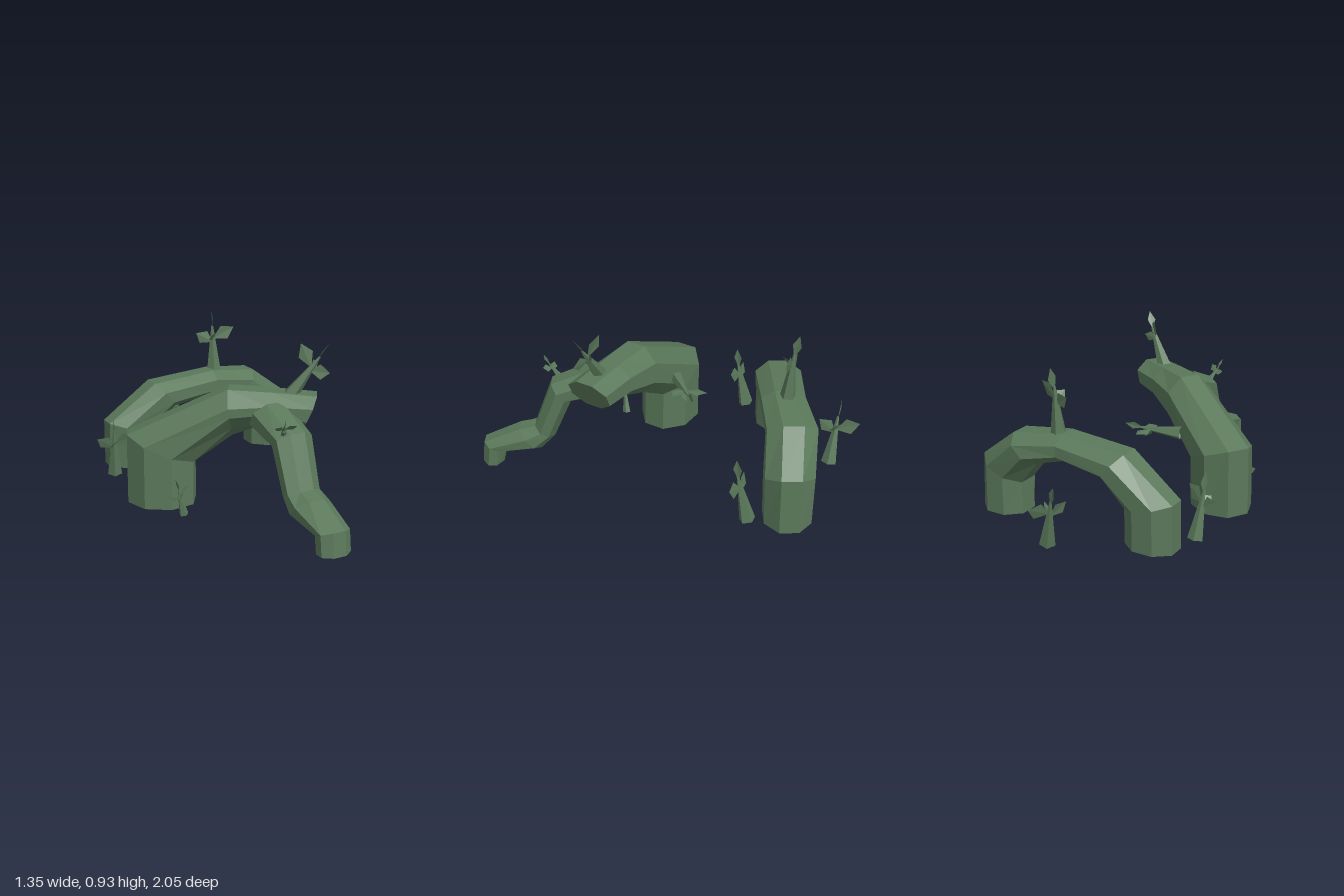
import * as THREE from 'three';

const SIDES = 8;
const bark = new THREE.MeshStandardMaterial({ color: 0x5a785a, flatShading: true, side: THREE.DoubleSide });

// Hollow root bending in a vertical plane through (ox, oz) along (dx, dz).
// Each ring: [outer s, outer y, inner s, inner y, half width, sideways shift, lift of the lower front].
function root(name, [ox, oz], [dx, dz], rings, capped = false) {
  const len = Math.hypot(dx, dz);
  const side = new THREE.Vector3(-dz / len, 0, dx / len);
  const at = (s, y) => new THREE.Vector3(ox + dx * s, y, oz + dz * s);
  const grow = 1.06;
  const pos = [], idx = [];
  const end = new THREE.Vector3();
  for (const [os, oy, is, iy, w, shift = 0, lift = 0] of rings) {
    const outer = at(os, oy), inner = at(is, iy);
    end.copy(outer).add(inner).multiplyScalar(0.5).addScaledVector(side, shift);
    const h = outer.sub(inner).multiplyScalar(0.5 * grow);
    for (let j = 0; j < SIDES; j++) {
      const a = ((j + 0.5) / SIDES) * Math.PI * 2;
      const c = Math.cos(a), s = Math.sin(a);
      const p = end.clone().addScaledVector(h, c).addScaledVector(side, s * w * grow);
      pos.push(p.x, p.y + lift * Math.max(0, -c) * Math.max(0, s), p.z);
    }
  }
  const last = (rings.length - 1) * SIDES;
  pos.push(end.x, end.y, end.z);
  for (let j = 0; j < SIDES; j++) {
    const k = (j + 1) % SIDES;
    for (let i = 0; i < last; i += SIDES) {
      const a = i + j, b = i + k;
      idx.push(a, b, b + SIDES, a, b + SIDES, a + SIDES);
    }
    if (capped) idx.push(last + SIDES, last + j, last + k);
  }
  const geo = new THREE.BufferGeometry();
  geo.setAttribute('position', new THREE.Float32BufferAttribute(pos, 3));
  geo.setIndex(idx);
  geo.computeVertexNormals();
  const mesh = new THREE.Mesh(geo, bark);
  mesh.name = name;
  return mesh;
}

// Kite-shaped leaf, slightly folded along its midrib
function leaf(from, to, across) {
  const a = new THREE.Vector3(...from), b = new THREE.Vector3(...to), w = new THREE.Vector3(...across);
  const fold = b.clone().sub(a).cross(w).normalize().multiplyScalar(0.004);
  const mid = a.clone().lerp(b, 0.55).add(fold);
  const l = mid.clone().add(w), r = mid.clone().sub(w);
  const geo = new THREE.BufferGeometry().setFromPoints([a, r, b, a, b, l]);
  geo.computeVertexNormals();
  const mesh = new THREE.Mesh(geo, bark);
  mesh.name = 'leaf';
  return mesh;
}

// Tapered stem with two side leaves, a small front leaf and an upright top leaf
function sprout(base, tip, yaw) {
  const g = new THREE.Group();
  g.name = 'sprout';
  const stemGeo = new THREE.CylinderGeometry(0.006, 0.045, 0.28, 5, 1, true);
  stemGeo.translate(0, 0.14, 0);
  const stem = new THREE.Mesh(stemGeo, bark);
  stem.name = 'stem';
  g.add(
    stem,
    leaf([0, 0.18, 0], [-0.1, 0.24, 0.005], [0.025, 0.035, 0]),
    leaf([0, 0.2, 0], [0.13, 0.27, 0.005], [-0.02, 0.04, 0]),
    leaf([0, 0.19, 0], [0, 0.24, 0.06], [0.025, 0.02, -0.01]),
    leaf([0, 0.25, 0], [0, 0.38, -0.015], [0, 0.005, 0.024])
  );
  const start = new THREE.Vector3(...base);
  const dir = new THREE.Vector3(...tip).sub(start);
  g.scale.setScalar(dir.length() / 0.38);
  g.position.copy(start);
  const up = new THREE.Vector3(0, 1, 0);
  g.quaternion.setFromUnitVectors(up, dir.normalize())
    .multiply(new THREE.Quaternion().setFromAxisAngle(up, yaw));
  return g;
}

export function createModel() {
  const model = new THREE.Group();
  model.name = 'archingRoots';

  // Thick front root with a cut end
  model.add(root('frontRoot', [0, 0.217], [1, 0.185], [
    [-0.49, 0, -0.12, 0, 0.16],
    [-0.49, 0.4, -0.12, 0.25, 0.16, -0.005],
    [0.06, 0.67, 0.08, 0.37, 0.14, -0.01, 0.2],
    [0.3, 0.66, 0.28, 0.45, 0.13, -0.005, 0.12],
    [0.535, 0.645, 0.46, 0.465, 0.128],
  ], true));

  // Side branch stepping down to the ground
  model.add(root('branchRoot', [0.14, 0], [0.4, 1], [
    [0.38, 0.62, 0.3, 0.45, 0.12],
    [0.6, 0.52, 0.5, 0.41, 0.11],
    [0.7, 0.24, 0.595, 0.18, 0.1],
    [0.785, 0.22, 0.67, 0.095, 0.11],
    [0.98, 0.13, 0.865, 0.08, 0.09],
    [0.995, 0, 0.88, 0, 0.09],
  ]));

  // Full arch at the back
  model.add(root('backArchRoot', [0, -0.63], [1, -0.4], [
    [-0.605, 0, -0.33, 0, 0.115, -0.025],
    [-0.605, 0.28, -0.33, 0.2, 0.115, -0.025],
    [-0.33, 0.5, -0.2, 0.34, 0.135, -0.01],
    [0.04, 0.535, 0.03, 0.38, 0.125, -0.005],
    [0.32, 0.5, 0.18, 0.34, 0.14, -0.03],
    [0.545, 0.32, 0.3, 0.19, 0.135, -0.005],
    [0.565, 0, 0.3, 0, 0.13, -0.005],
  ]));

  // Sprouts: base, tip, turn about the stem
  const sprouts = [
    [[-0.13, 0.01, -0.9], [-0.23, 0.38, -0.92], Math.PI / 2],
    [[0.54, 0.01, -0.62], [0.55, 0.38, -0.54], 0],
    [[-0.57, 0.01, -0.25], [-0.57, 0.38, -0.17], 0],
    [[-0.09, 0.4, 0.03], [0.17, 0.42, -0.17], 2.24],
    [[-0.2, 0.01, 0.41], [-0.24, 0.22, 0.44], 0.5],
    [[0.31, 0.48, 0.56], [0.3, 0.62, 0.69], 0],
    [[0.39, 0.63, 0.29], [0.6, 0.93, 0.32], 2.7],
    [[0.07, 0.51, -0.68], [0.06, 0.9, -0.71], 0],
  ];
  for (const s of sprouts) model.add(sprout(...s));

  return model;
}
